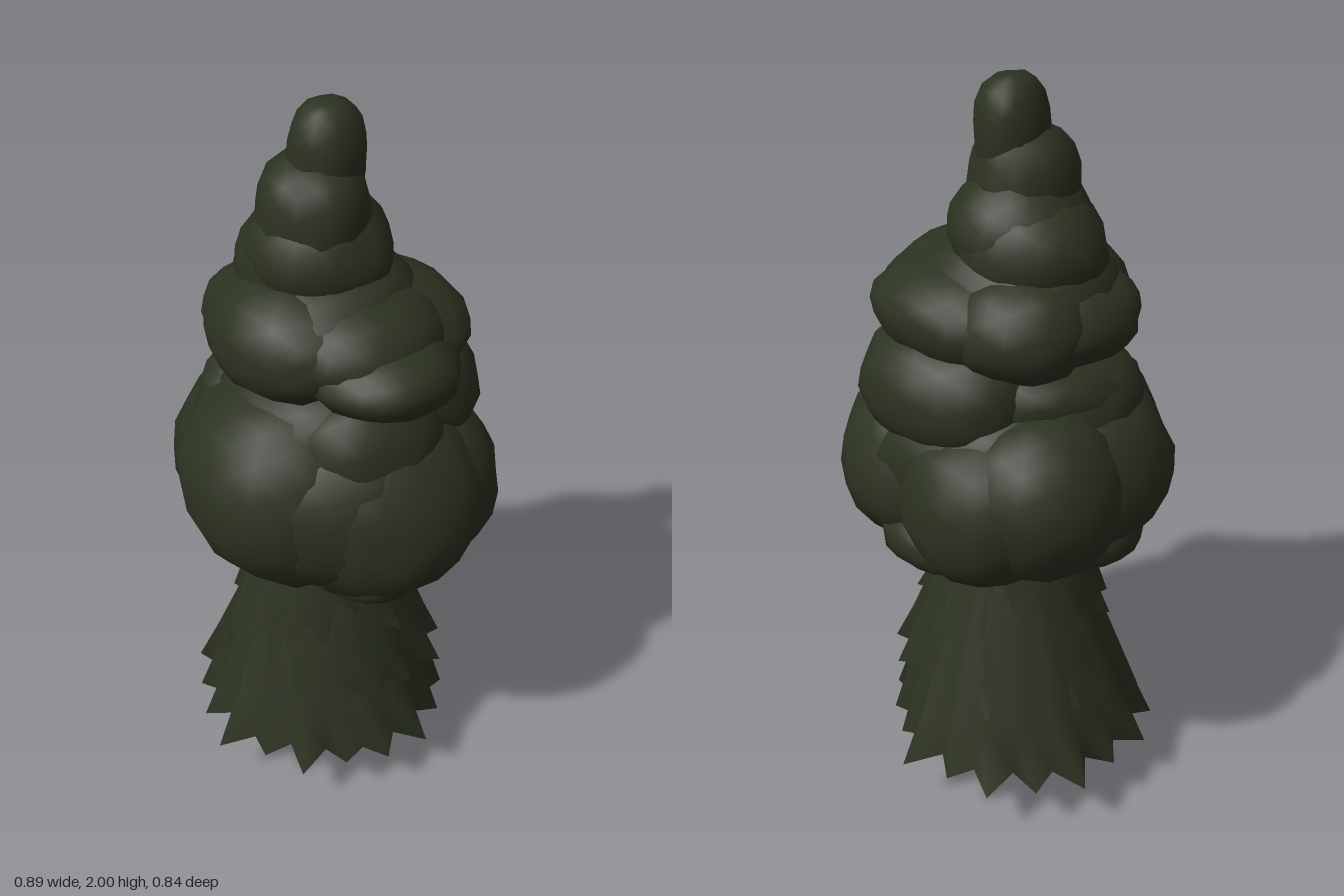
import * as THREE from 'three';
import { mergeVertices } from 'three/addons/utils/BufferGeometryUtils.js';

const foliage = new THREE.MeshStandardMaterial({ color: 0x2c3221, side: THREE.DoubleSide });
foliage.name = 'dark foliage green';
const bark = new THREE.MeshStandardMaterial({ color: 0x292622 });
bark.name = 'dark bark';

// Small seeded generator
function seeded(seed) {
  let s = seed;
  return () => {
    s = (s * 16807) % 2147483647;
    return s / 2147483647;
  };
}

// Lumpy, smooth-shaded clump of leaves; a higher boxy power gives steeper sides and flatter ends
function clump(name, [x, y, z, rx, ry, rz, boxy = 2.3], seed) {
  let g = new THREE.IcosahedronGeometry(1, 3);
  g.deleteAttribute('uv');
  g.deleteAttribute('normal');
  g = mergeVertices(g, 1e-4);
  const rand = seeded(seed * 7919 + 13);
  const p = g.attributes.position;
  const v = new THREE.Vector3();
  for (let i = 0; i < p.count; i++) {
    v.fromBufferAttribute(p, i);
    const square = Math.pow(Math.pow(Math.hypot(v.x, v.z), boxy) + Math.pow(Math.abs(v.y), boxy), -1 / boxy);
    const lump = 0.02 * Math.sin(4 * v.x + seed) + 0.02 * Math.sin(4 * v.y + 3 * v.z + 2 * seed);
    v.multiplyScalar(square * (1 + lump + (rand() - 0.5) * 0.06));
    p.setXYZ(i, x + v.x * rx, y + v.y * ry, z + v.z * rz);
  }
  g.computeVertexNormals();
  const mesh = new THREE.Mesh(g, foliage);
  mesh.name = name;
  return mesh;
}

// Flared ring of branches with a ragged, pointed hem
function skirt(name, yTop, yHem, rTop, rHem, cx, cz, teeth, seed) {
  const rand = seeded(seed * 104729 + 7);
  const cols = teeth * 2, rows = 4;
  const tips = Array.from({ length: cols }, (_, i) => (i % 2 ? 0.9 + rand() * 0.2 : 0.79 + rand() * 0.08));
  const pos = [], index = [];
  for (let r = 0; r <= rows; r++) {
    const t = r / rows;
    for (let i = 0; i < cols; i++) {
      const a = (i / cols) * Math.PI * 2;
      const flare = rTop + (rHem - rTop) * Math.pow(t, 1.15);
      const radius = flare * (1 + (tips[i] - 1) * t * t);
      const rise = r === rows && i % 2 === 0 ? 0.015 : 0;
      pos.push(cx + Math.cos(a) * radius, yTop + (yHem - yTop) * t + rise, cz + Math.sin(a) * radius);
      if (r < rows) {
        const j = (i + 1) % cols, a0 = r * cols + i, a1 = r * cols + j;
        index.push(a0, a1, a0 + cols, a1, a1 + cols, a0 + cols);
      }
    }
  }
  const g = new THREE.BufferGeometry();
  g.setAttribute('position', new THREE.Float32BufferAttribute(pos, 3));
  g.setIndex(index);
  g.computeVertexNormals();
  const mesh = new THREE.Mesh(g, foliage);
  mesh.name = name;
  return mesh;
}

// Named group of clumps
function cluster(name, blobs, seed) {
  const group = new THREE.Group();
  group.name = name;
  blobs.forEach((b, i) => group.add(clump(name + 'Clump', b, seed + i)));
  return group;
}

export function createModel() {
  const tree = new THREE.Group();
  tree.name = 'conifer';

  // Trunk
  const trunk = new THREE.Mesh(new THREE.CylinderGeometry(0.035, 0.042, 0.2, 8), bark);
  trunk.name = 'trunk';
  trunk.position.set(-0.035, 0.1, 0);
  tree.add(trunk);

  // Low growth under the skirt
  tree.add(cluster('lowGrowth', [
    [-0.03, 0.14, 0.01, 0.17, 0.125, 0.16, 2.6],
    [-0.03, 0.2, 0, 0.14, 0.14, 0.13],
  ], 1));

  // Overlapping ragged skirts, lowest first
  const skirts = new THREE.Group();
  skirts.name = 'skirts';
  [
    [0.74, 0.155, 0.165, 0.385, -0.042, -0.015, 19],
    [0.76, 0.34, 0.17, 0.31, -0.015, -0.015, 16],
    [0.8, 0.53, 0.175, 0.26, -0.03, 0, 15],
    [0.9, 0.7, 0.175, 0.22, -0.03, 0, 14],
  ].forEach((s, i) => skirts.add(skirt('skirt', ...s, i + 3)));
  tree.add(skirts);

  // Broad middle crown: a full core with shallow lobes around it
  tree.add(cluster('middleCrown', [
    [0, 1.02, 0, 0.4, 0.265, 0.37, 2.4],
    [0.0, 1.03, 0.15, 0.29, 0.28, 0.265, 2.2],
    [-0.19, 1.0, 0.05, 0.245, 0.25, 0.28, 2.2],
    [0.21, 0.99, -0.02, 0.235, 0.25, 0.27, 2.2],
    [0.14, 0.98, -0.14, 0.26, 0.23, 0.245, 2.3],
    [-0.11, 0.97, -0.17, 0.25, 0.215, 0.245, 2.4],
    [-0.22, 1.0, -0.13, 0.22, 0.23, 0.22, 2.2],
    [0.04, 1.23, -0.17, 0.25, 0.17, 0.2, 2.4],
    [-0.01, 1.22, 0, 0.315, 0.14, 0.27, 2.5],
    [0.18, 1.17, 0.02, 0.17, 0.17, 0.2],
    [-0.18, 1.16, 0.03, 0.18, 0.16, 0.22],
    [0.2, 0.84, 0.04, 0.17, 0.1, 0.16],
    [-0.23, 0.85, 0.02, 0.17, 0.1, 0.17],
    [0, 0.84, -0.25, 0.16, 0.095, 0.14],
  ], 11));

  // Upper crown
  tree.add(cluster('upperCrown', [
    [-0.03, 1.45, 0.0, 0.26, 0.18, 0.25, 2.2],
    [-0.02, 1.44, 0.1, 0.25, 0.155, 0.2, 2.1],
    [-0.18, 1.42, 0.02, 0.17, 0.11, 0.21, 2.3],
    [0.22, 1.4, 0.0, 0.175, 0.1, 0.19, 2],
    [0.12, 1.45, 0, 0.19, 0.13, 0.22, 2],
    [0.04, 1.42, -0.14, 0.24, 0.14, 0.185, 2.1],
    [-0.13, 1.42, -0.1, 0.19, 0.14, 0.18, 2.1],
  ], 31));

  // Narrowing peak
  tree.add(cluster('peak', [
    [-0.075, 1.57, 0.0, 0.195, 0.17, 0.19, 2.1],
    [-0.04, 1.62, 0, 0.19, 0.17, 0.185, 1.8],
    [-0.033, 1.7, 0.017, 0.142, 0.17, 0.138, 3],
    [-0.025, 1.86, -0.015, 0.087, 0.14, 0.097, 2.4],
  ], 51));
  return tree;
}
